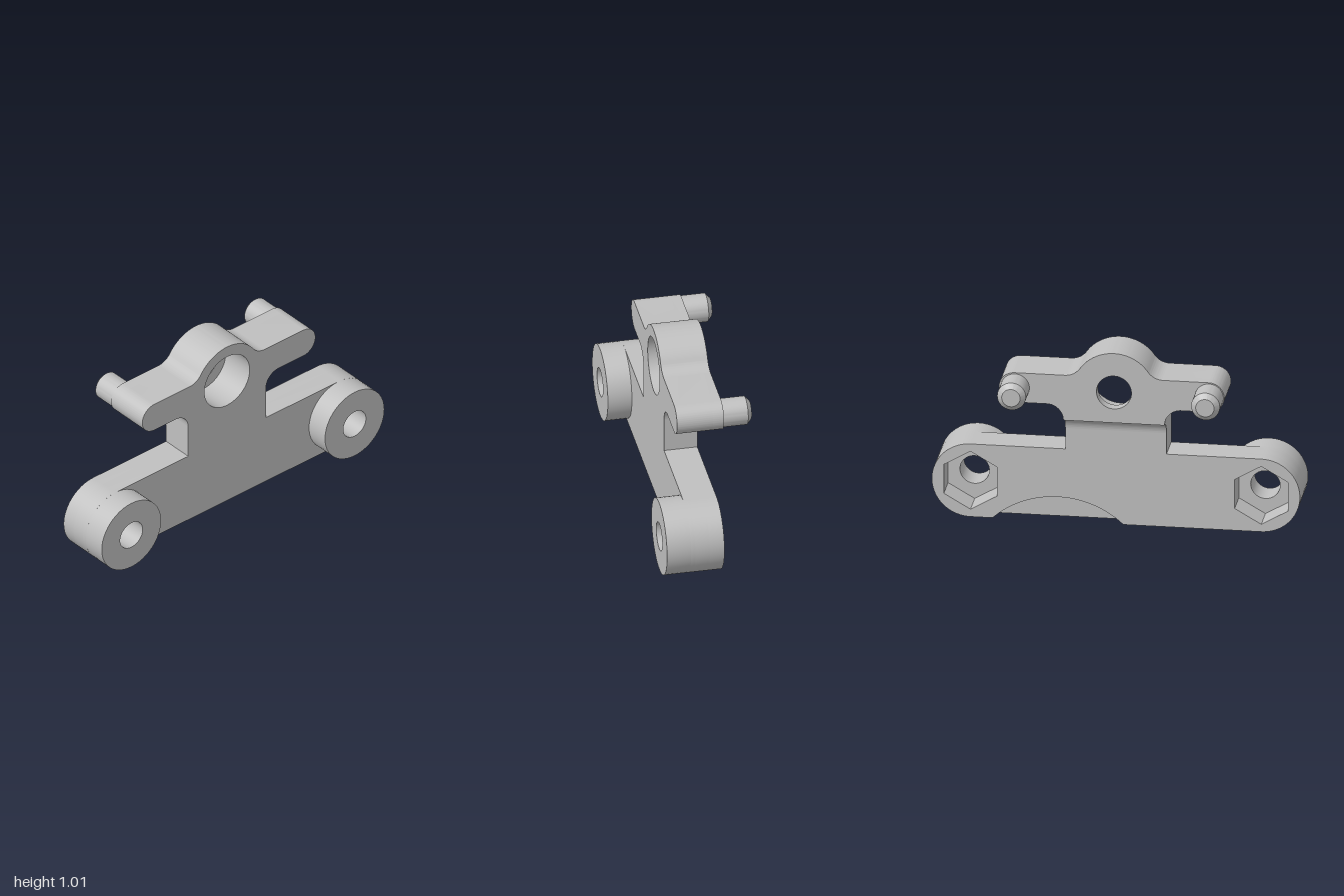
import * as THREE from 'three';
import { toCreasedNormals } from 'three/addons/utils/BufferGeometryUtils.js';

const PI = Math.PI;
const BOSS_X = 0.79, BOSS_Y = 0.21, BOSS_R = 0.21, BOLT_R = 0.08, HEX_R = 0.167;
const HEAD_Y = 0.79, ARM_R = 0.085;

// Extrude a shape between two z values, keeping hard edges sharp
function slab(shape, z0, z1) {
  const geo = new THREE.ExtrudeGeometry(shape, { depth: z1 - z0, bevelEnabled: false, curveSegments: 24 });
  geo.translate(0, 0, z0);
  return toCreasedNormals(geo, 0.5);
}

function circle(x, y, r) {
  return new THREE.Shape().absarc(x, y, r, 0, 2 * PI, false);
}

// Hexagon with a point at the top
function hexagon(x, y, r) {
  const pts = [];
  for (let i = 0; i < 6; i++) {
    const a = PI / 2 + i * PI / 3;
    pts.push(new THREE.Vector2(x + r * Math.cos(a), y + r * Math.sin(a)));
  }
  return new THREE.Path(pts);
}

// Round-ended bar outline, optionally with an arched notch in the lower edge
function barShape(makeHole, arch) {
  const s = new THREE.Shape();
  s.moveTo(-BOSS_X, 0);
  if (arch) {
    const cx = 0.315, half = 0.355, drop = 0.38;
    const b = Math.atan2(drop, half);
    s.lineTo(cx - half, 0);
    s.absarc(cx, -drop, Math.hypot(half, drop), PI - b, b, true);
  }
  s.lineTo(BOSS_X, 0);
  s.absarc(BOSS_X, BOSS_Y, BOSS_R, -PI / 2, PI / 2, false);
  s.lineTo(-BOSS_X, 2 * BOSS_R);
  s.absarc(-BOSS_X, BOSS_Y, BOSS_R, PI / 2, 1.5 * PI, false);
  for (const side of [-1, 1]) s.holes.push(makeHole(side * BOSS_X));
  return s;
}

// Head outline: round hub blended into two round-ended arms, filleted to the neck
function headShape(holeR) {
  const hubR = 0.225, blend = 0.1, fillet = 0.09, neckTop = 0.615;
  const blendY = HEAD_Y + ARM_R + blend;
  const dy = blendY - HEAD_Y;
  const blendX = Math.sqrt((hubR + blend) ** 2 - dy * dy);
  const a = Math.atan2(dy, blendX);
  const s = new THREE.Shape();
  s.moveTo(0.275, neckTop);
  s.absarc(0.365, neckTop, fillet, PI, PI / 2, true);
  s.absarc(0.54, HEAD_Y, ARM_R, -PI / 2, PI / 2, false);
  s.absarc(blendX, blendY, blend, -PI / 2, a - PI, true);
  s.absarc(0, HEAD_Y, hubR, a, PI - a, false);
  s.absarc(-blendX, blendY, blend, -a, -PI / 2, true);
  s.absarc(-0.515, HEAD_Y, ARM_R, PI / 2, 1.5 * PI, false);
  s.absarc(-0.365, neckTop, fillet, PI / 2, 0, true);
  s.closePath();
  s.holes.push(circle(0, HEAD_Y, holeR));
  return s;
}

export function createModel() {
  const model = new THREE.Group();
  model.name = 'mountingBracket';
  const grey = new THREE.MeshStandardMaterial({ color: 0xc0c0c0 });
  grey.name = 'light grey';

  function add(name, geo) {
    const mesh = new THREE.Mesh(geo, grey);
    mesh.name = name;
    model.add(mesh);
    return mesh;
  }

  // Base bar in layers: arched recess and nut pockets at the back, bolt holes in front
  const hexHole = (x) => hexagon(x, BOSS_Y, HEX_R);
  const boltHole = (x) => circle(x, BOSS_Y, BOLT_R);
  add('baseBarBack', slab(barShape(hexHole, true), -0.04, 0.04));
  add('baseBarMiddle', slab(barShape(hexHole, false), 0.04, 0.12));
  add('baseBarFront', slab(barShape(boltHole, false), 0.12, 0.143));

  // Bosses standing out of the front of the bar
  for (const side of [-1, 1]) {
    const ring = circle(side * BOSS_X, BOSS_Y, BOSS_R);
    ring.holes.push(boltHole(side * BOSS_X));
    add(side > 0 ? 'leftBoss' : 'rightBoss', slab(ring, 0.143, 0.275));
  }

  // Neck: side profile with a rear fillet, extruded across the width
  const profile = new THREE.Shape();
  profile.moveTo(-0.04, 0.42);
  profile.lineTo(0.143, 0.42);
  profile.lineTo(0.143, 0.615);
  profile.lineTo(-0.115, 0.615);
  profile.absarc(-0.115, 0.54, 0.075, PI / 2, 0, true);
  profile.closePath();
  const neck = slab(profile, -0.275, 0.275);
  neck.rotateY(-PI / 2);
  add('neck', neck);

  // Head with a counterbored hole
  add('headFront', slab(headShape(0.16), -0.055, 0.143));
  add('headBack', slab(headShape(0.095), -0.115, -0.055));

  // Chamfered pins on the back of the arms
  const pinProfile = [[0.078, 0], [0.078, 0.135], [0.05, 0.16], [0, 0.16]]
    .map(([r, y]) => new THREE.Vector2(r, y));
  const pin = toCreasedNormals(new THREE.LatheGeometry(pinProfile, 48), 0.5);
  pin.rotateX(-PI / 2);
  add('leftPin', pin).position.set(0.537, HEAD_Y, -0.115);
  add('rightPin', pin).position.set(-0.517, HEAD_Y, -0.115);

  return model;
}
